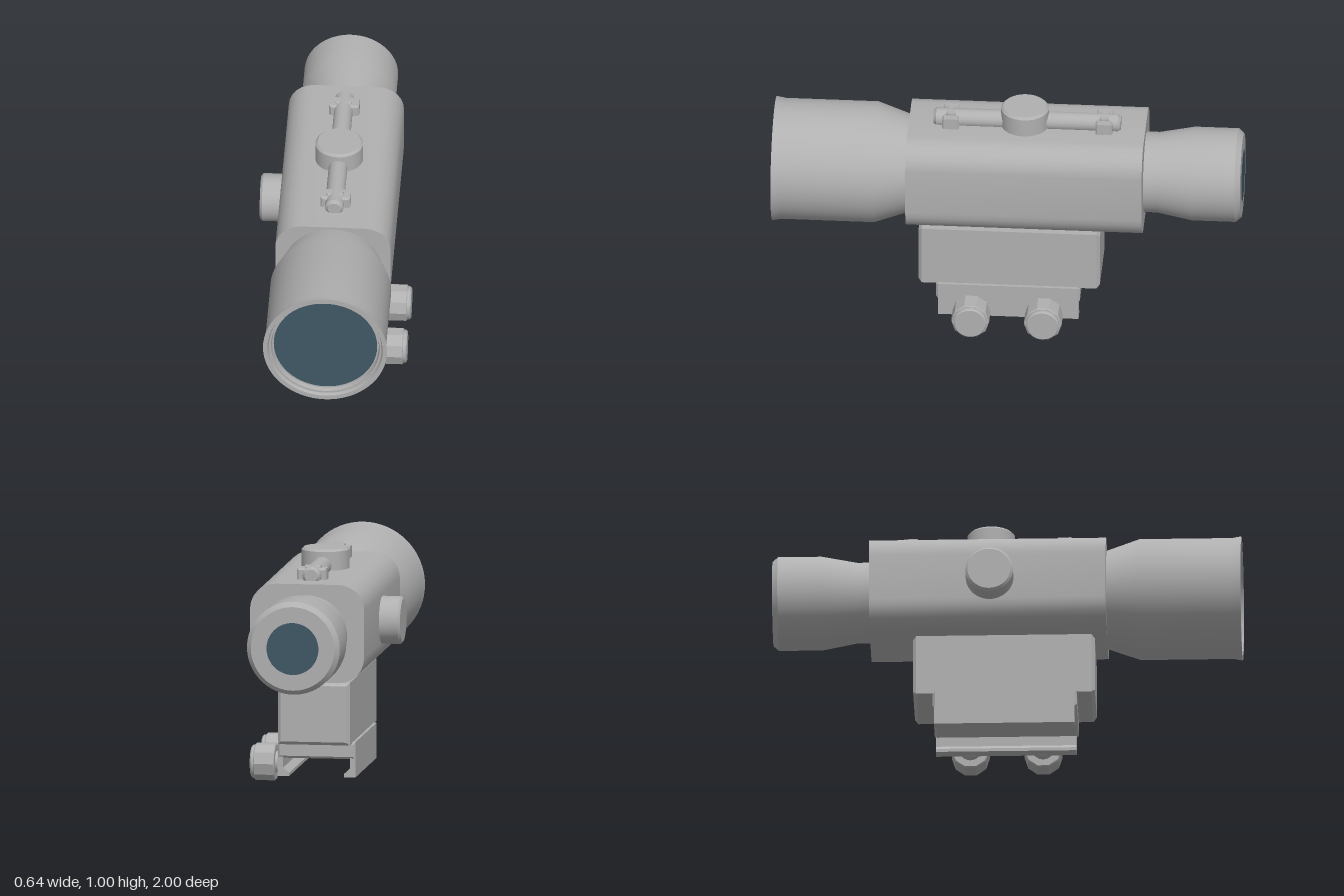
import * as THREE from 'three';
import { toCreasedNormals } from 'three/addons/utils/BufferGeometryUtils.js';

const CX = 0.015, AXIS = 0.69;

export function createModel() {
  const model = new THREE.Group();
  model.name = 'opticalSight';
  const housing = new THREE.MeshStandardMaterial({ color: 0xb0b0b0 });
  housing.name = 'housing grey';
  const glass = new THREE.MeshStandardMaterial({ color: 0x405866 });
  glass.name = 'lens blue';

  function add(name, geo, x = 0, y = 0, z = 0, mat = housing) {
    const mesh = new THREE.Mesh(toCreasedNormals(geo, 0.6), mat);
    mesh.name = name;
    mesh.position.set(x, y, z);
    model.add(mesh);
    return mesh;
  }
  // Turned part: [radius, height] pairs, axis along y
  const turned = (pts, seg = 48) =>
    new THREE.LatheGeometry(pts.map(([r, h]) => new THREE.Vector2(r, h)), seg);
  // Solid disc of given length with chamfered ends, from y = 0
  const knob = (r, len, c, seg = 40) =>
    turned([[0, 0], [r - c, 0], [r, c], [r, len - c], [r - c, len], [0, len]], seg);

  function roundedRect(w, h, r) {
    const s = new THREE.Shape();
    const corners = [[w / 2 - r, h / 2 - r], [r - w / 2, h / 2 - r], [r - w / 2, r - h / 2], [w / 2 - r, r - h / 2]];
    corners.forEach(([x, y], i) => s.absarc(x, y, r, i * Math.PI / 2, (i + 1) * Math.PI / 2, false));
    return s;
  }
  // Box with all edges chamfered, centred
  function chamferBox(w, h, d, c) {
    const s = new THREE.Shape();
    const a = w / 2 - c, b = h / 2 - c;
    s.moveTo(-a, -b).lineTo(a, -b).lineTo(a, b).lineTo(-a, b).closePath();
    return new THREE.ExtrudeGeometry(s, {
      depth: d - 2 * c, bevelEnabled: true, bevelSize: c, bevelThickness: c, bevelSegments: 1,
    }).translate(0, 0, c - d / 2);
  }

  // Main body with rounded corners
  add('body', new THREE.ExtrudeGeometry(roundedRect(0.492, 0.423, 0.11), {
    depth: 1.01, bevelEnabled: false, curveSegments: 3,
  }), 0.016, 0.698, -0.585);

  // Front bell with recessed mouth
  add('objectiveBell', turned([
    [0, 0.41], [0.208, 0.41], [0.21, 0.425], [0.258, 0.565], [0.258, 0.96], [0.265, 1], [0.246, 1],
    [0.241, 0.985], [0.232, 0.985], [0.228, 0.965], [0.22, 0.965], [0.22, 0.95], [0, 0.95],
  ], 64).rotateX(Math.PI / 2), CX, AXIS);
  add('objectiveLens', new THREE.CircleGeometry(0.221, 64), CX, AXIS, 0.966, glass);

  // Rear eyepiece
  add('eyepiece', turned([
    [0, -1], [0.18, -1], [0.2, -0.977], [0.2, -0.79], [0.172, -0.64], [0.172, -0.57], [0, -0.57],
  ], 64).rotateX(Math.PI / 2), CX, AXIS);
  add('eyepieceLens', new THREE.CircleGeometry(0.112, 48).rotateY(Math.PI), CX, AXIS, -1.002, glass);

  // Adjustment turrets on top and on the right side
  add('topTurret', knob(0.102, 0.12, 0.01), CX, 0.88, -0.07);
  add('sideTurret', knob(0.102, 0.12, 0.01).rotateZ(Math.PI / 2), -0.2, AXIS, -0.07);

  // Rod along the top, held by two clips
  add('topRod', knob(0.04, 0.8, 0.012, 16).rotateX(Math.PI / 2), CX, 0.93, -0.48);
  for (const z of [-0.41, 0.245]) {
    add('rodClip', chamferBox(0.128, 0.06, 0.072, 0.008), 0.018, 0.929, z);
    add('rodClipBridge', chamferBox(0.07, 0.068, 0.045, 0.008), CX, 0.934, z);
  }

  // Mount block and base plate
  add('mountBlock', chamferBox(0.31, 0.27, 0.775, 0.014), 0.017, 0.325, -0.012);
  add('basePlate', chamferBox(0.335, 0.073, 0.615, 0.01), 0.0175, 0.157, -0.008);

  // Hooked clamp rails, mirrored about the plate centre
  for (const side of [-1, 1]) {
    const pts = [[0.1675, 0.125], [0.144, 0.125], [0.144, 0.078], [0.118, 0.056], [0.118, 0.042], [0.1675, 0.042]];
    const rail = new THREE.Shape(pts.map(([x, y]) => new THREE.Vector2(side * x, y)));
    add(side < 0 ? 'rightRail' : 'leftRail',
      new THREE.ExtrudeGeometry(rail, { depth: 0.6, bevelEnabled: false }), 0.0175, 0, -0.31);
  }

  // Clamp screws on the left: collar, faceted grip and end cap
  for (const z of [0.145, -0.165]) {
    add('screwCollar', knob(0.046, 0.05, 0.005, 24).rotateZ(-Math.PI / 2), 0.17, 0.082, z);
    const grip = add('screwGrip', knob(0.081, 0.09, 0.004, 10).rotateZ(-Math.PI / 2), 0.212, 0.082, z);
    grip.name = 'screwGrip';
    add('screwCap', knob(0.071, 0.026, 0.006, 32).rotateZ(-Math.PI / 2), 0.292, 0.082, z);
  }
  return model;
}
